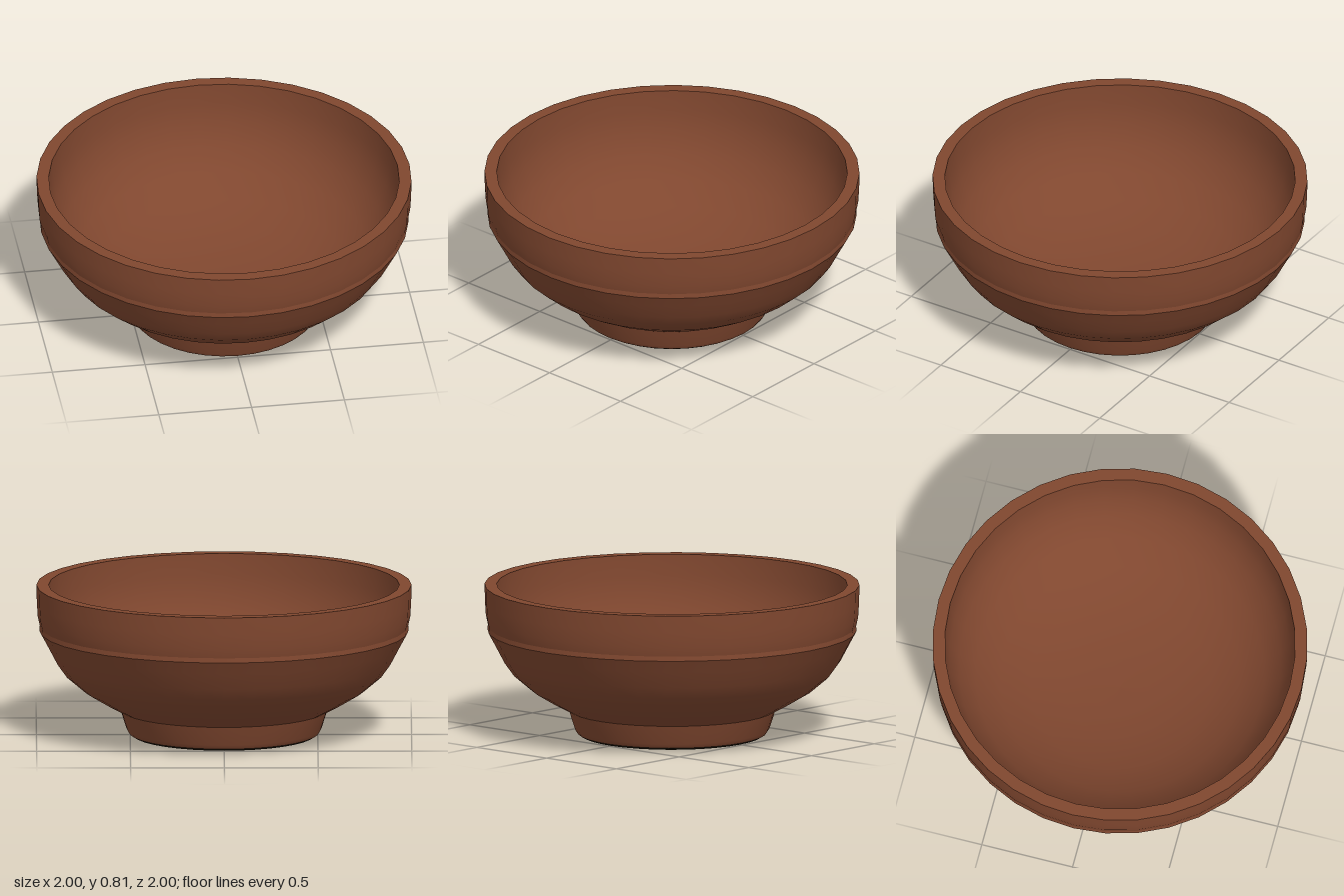
import * as THREE from 'three';

const SIDES = 36;

export function createModel() {
  const clay = new THREE.MeshStandardMaterial({ color: 0x80472f });
  clay.name = 'brown clay';
  const unglazed = new THREE.MeshStandardMaterial({ color: 0x221a0a });
  unglazed.name = 'dark base';

  const bowl = new THREE.Group();
  bowl.name = 'bowl';

  // Each part is its own turned profile, so the edges between parts stay sharp
  const turn = (name, profile, material) => {
    const points = profile.map(([r, y]) => new THREE.Vector2(r, y));
    const mesh = new THREE.Mesh(new THREE.LatheGeometry(points, SIDES), material);
    mesh.name = name;
    bowl.add(mesh);
  };

  // Underside with its small rounded lip
  turn('base', [[0, 0], [0.485, 0], [0.505, 0.012]], unglazed);
  // Flared foot ring
  turn('foot', [[0.505, 0.012], [0.52, 0.035], [0.553, 0.138]], clay);
  // Rounded outer wall
  turn('outerWall', [[0.553, 0.138], [0.65, 0.19], [0.75, 0.25], [0.85, 0.335],
    [0.9, 0.405], [0.95, 0.5], [0.985, 0.565]], clay);
  // Narrow ledge and the upright band above it
  turn('ledge', [[0.985, 0.565], [0.982, 0.59]], clay);
  turn('rimBand', [[0.982, 0.59], [0.993, 0.64], [0.998, 0.72], [1, 0.812]], clay);
  // Flat lip
  turn('lip', [[1, 0.812], [0.935, 0.812]], clay);
  // Smooth hollow
  turn('innerWall', [[0.935, 0.812], [0.93, 0.7], [0.91, 0.59], [0.86, 0.47], [0.77, 0.36],
    [0.64, 0.27], [0.48, 0.205], [0.3, 0.17], [0.15, 0.157], [0, 0.153]], clay);

  return bowl;
}
